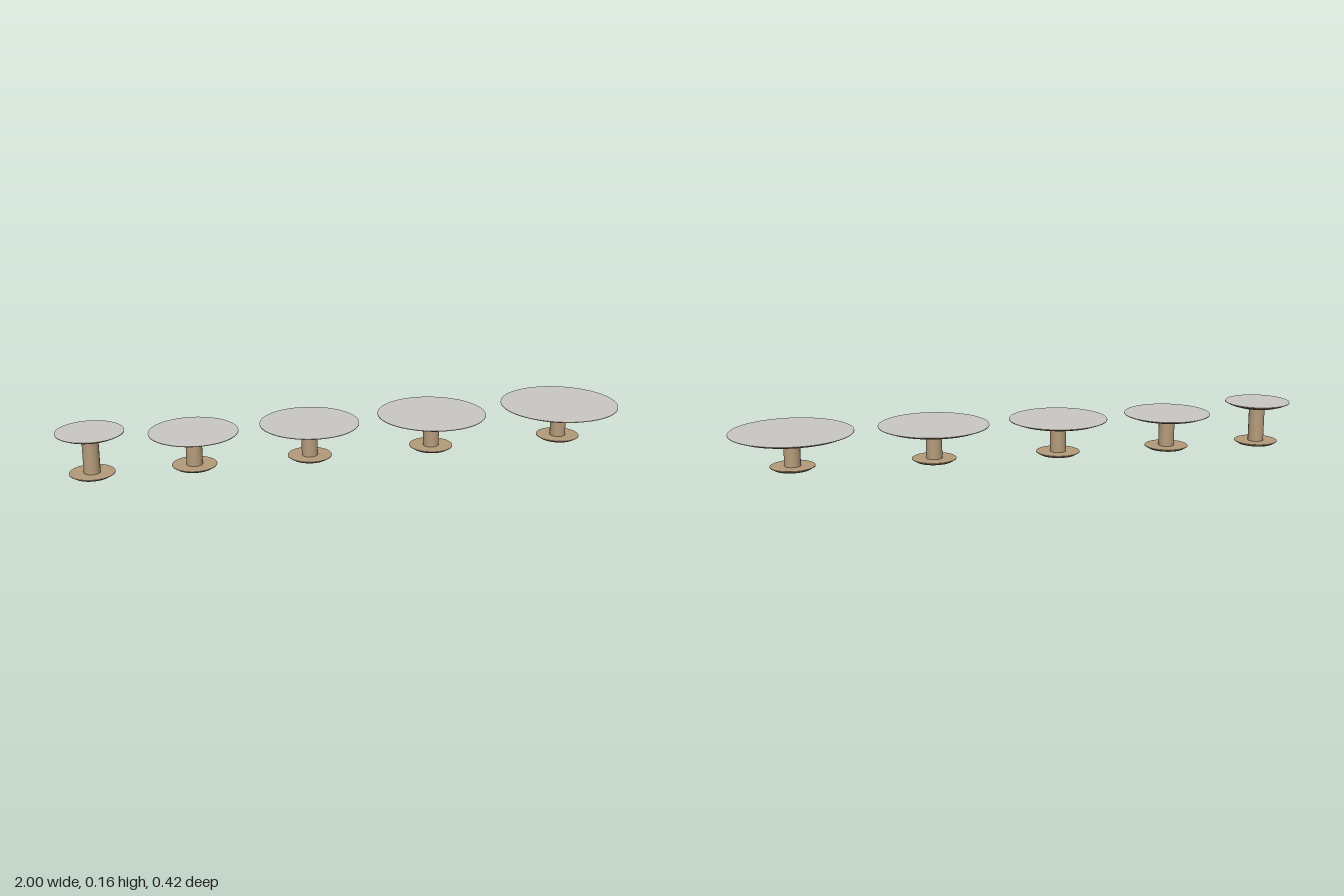
import * as THREE from 'three';

export function createModel() {
  const model = new THREE.Group();
  model.name = 'pedestalTables';

  const wood = new THREE.MeshStandardMaterial({ color: 0xb59c7c });
  wood.name = 'tan wood';
  const laminate = new THREE.MeshStandardMaterial({ color: 0xcbc9c4 });
  laminate.name = 'pale grey laminate';

  // Round part between two heights; materials follow side, top, bottom
  function disc(name, rTop, rBottom, y0, y1, material = wood) {
    const mesh = new THREE.Mesh(new THREE.CylinderGeometry(rTop, rBottom, y1 - y0, 64), material);
    mesh.name = name;
    mesh.position.y = (y0 + y1) / 2;
    return mesh;
  }

  function table(name, x, radius, height) {
    const group = new THREE.Group();
    group.name = name;
    group.position.x = x;
    const under = height - 0.0095; // underside of the tabletop
    const plate = under - 0.007; // underside of the mounting plate
    const rim = height - 0.002; // where the bevel meets the rim
    const bevel = radius < 0.12 ? 0.016 : 0.02;
    group.add(
      // Foot with its bevel turned down
      disc('baseBevel', 0.077, 0.064, 0, 0.008),
      disc('baseRim', 0.077, 0.077, 0.008, 0.01),
      disc('column', 0.028, 0.028, 0.01, plate),
      disc('mountingPlate', 0.077, 0.077, plate, under),
      // Tabletop: wooden bevel and rim with a grey upper face
      disc('tabletopBevel', radius, radius - bevel, under, rim),
      disc('tabletop', radius, radius, rim, height, [wood, laminate, wood])
    );
    return group;
  }

  // One tall small table, then four of growing width: x, radius, height
  [
    [-0.885, 0.115, 0.155],
    [-0.54, 0.153, 0.128],
    [-0.137, 0.173, 0.128],
    [0.305, 0.192, 0.128],
    [0.789, 0.211, 0.128],
  ].forEach(([x, radius, height], i) => model.add(table(`table${i + 1}`, x, radius, height)));

  return model;
}
